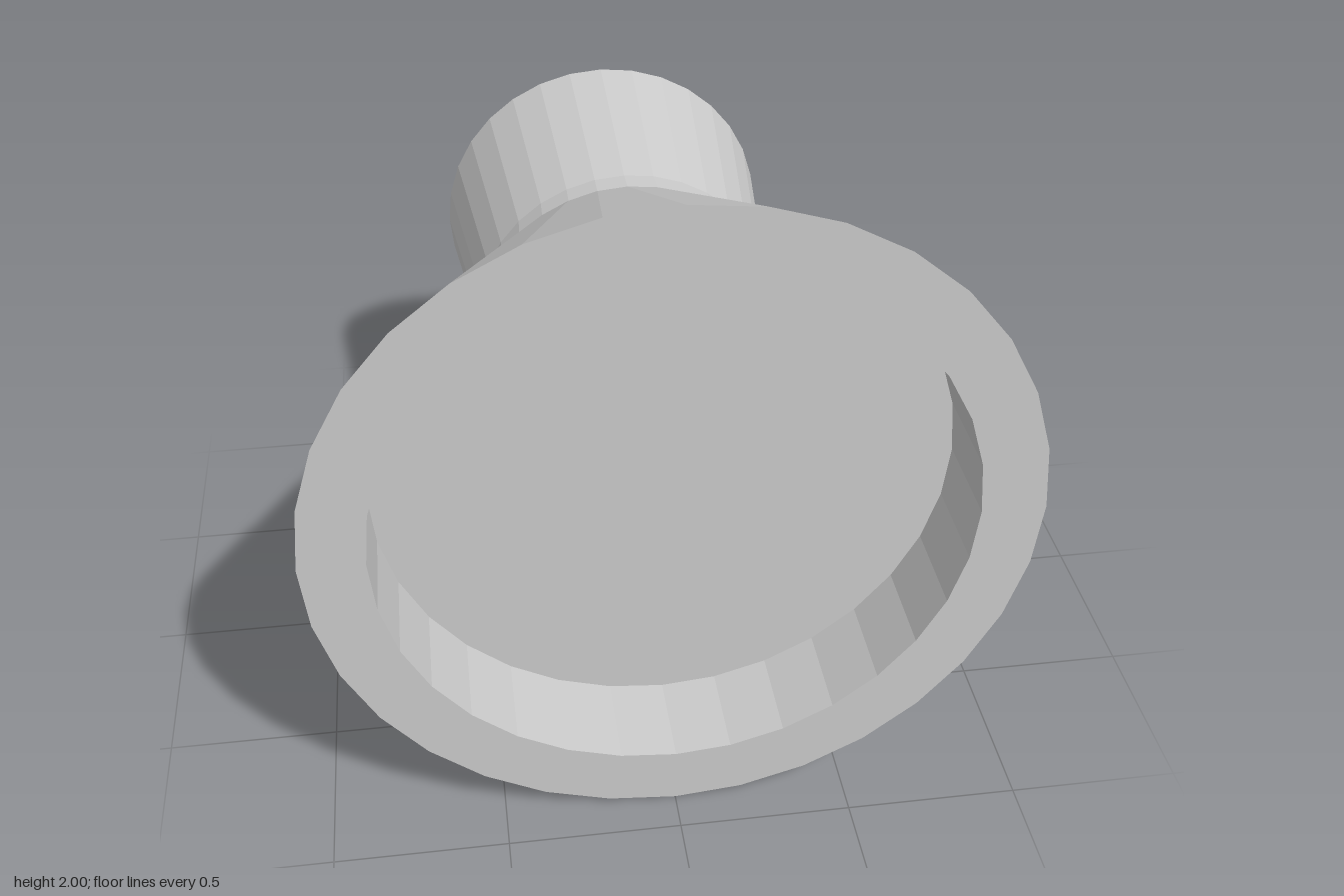
import * as THREE from 'three';

const SIDES = 32;
const material = new THREE.MeshStandardMaterial({ color: 0xcccccc, flatShading: true });

// Turns a profile of [radius, z] points around the z axis, from back to front
function turned(name, profile) {
  const points = profile.map(([r, z]) => new THREE.Vector2(r, z));
  const geometry = new THREE.LatheGeometry(points, SIDES).rotateX(Math.PI / 2);
  const mesh = new THREE.Mesh(geometry, material);
  mesh.name = name;
  return mesh;
}

export function createModel() {
  const model = new THREE.Group();
  model.name = 'flaredHorn';

  const back = -0.89, front = 0.89, floor = 0.61;
  const outer = 1, inner = 0.82, backRadius = 0.533;

  const parts = new THREE.Group();
  parts.name = 'hornBody';
  parts.position.y = 1;
  parts.add(
    // Closed back end
    turned('backCap', [[0, back], [backRadius, back]]),
    // Tapered neck with a short waist
    turned('neck', [[backRadius, back], [0.463, -0.27], [0.468, -0.19]]),
    // Wide cone opening to the front
    turned('flare', [[0.468, -0.19], [outer, front]]),
    // Flat front ring
    turned('rim', [[outer, front], [inner, front]]),
    // Shallow straight-walled recess
    turned('recessWall', [[inner, front], [inner, floor]]),
    turned('recessFloor', [[inner, floor], [0, floor]])
  );
  model.add(parts);
  return model;
}
